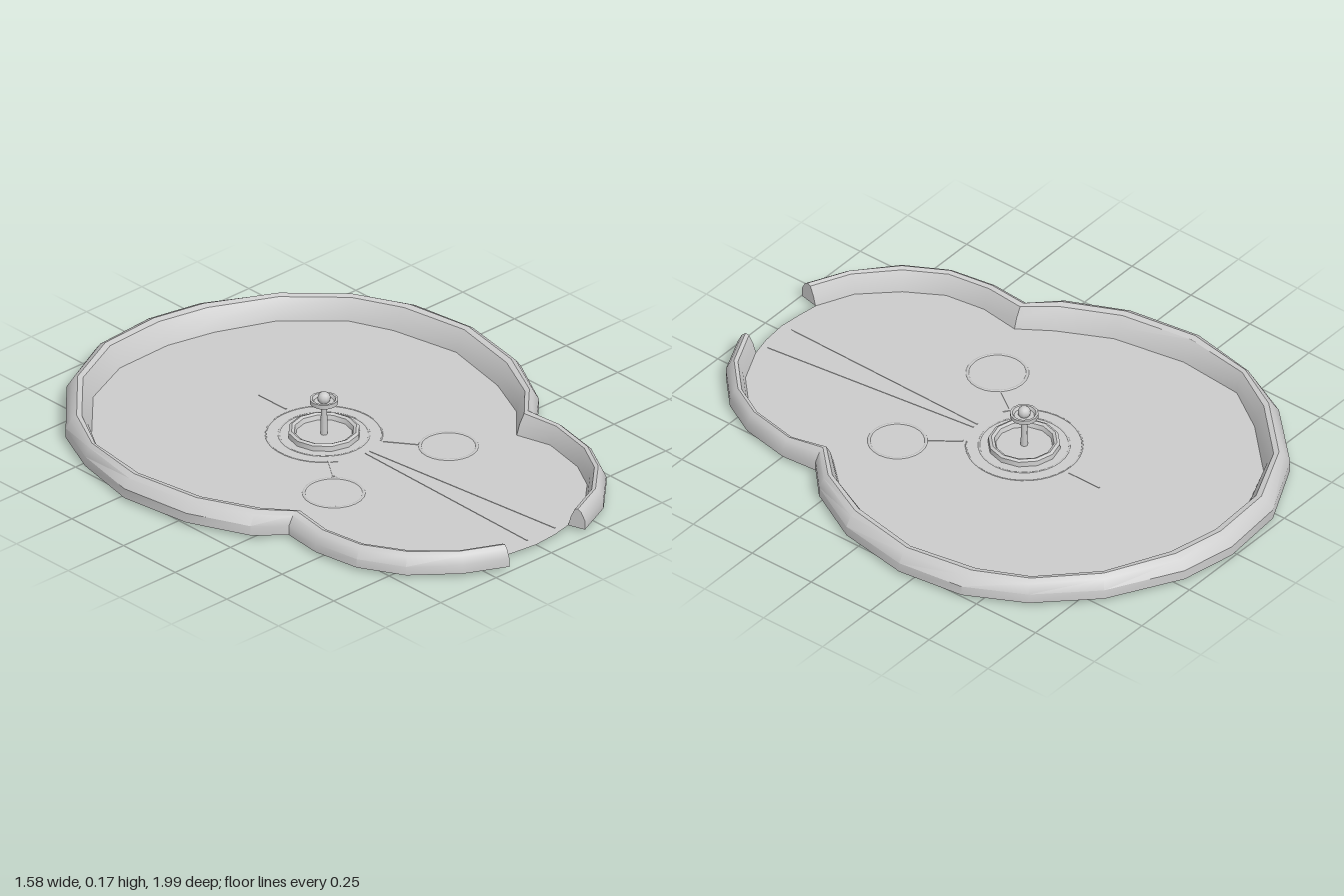
import * as THREE from 'three';
import { toCreasedNormals } from 'three/addons/utils/BufferGeometryUtils.js';

// Outer and inner edges of the rim as x, z pairs, from the right front end round the back to the left front end
const OUTER = [-.18, .99, -.325, .92, -.47, .8, -.553, .65, -.58, .48, -.565, .335, -.66, .25, -.755, .04, -.79, -.22,
  -.735, -.47, -.65, -.655, -.455, -.86, -.215, -.98, .025, -1, .225, -.96, .475, -.82, .65, -.64, .755, -.44,
  .785, -.2, .74, .06, .63, .265, .53, .36, .54, .49, .505, .67, .435, .8, .32, .91, .175, .975];
const INNER = [-.165, .92, -.295, .86, -.405, .745, -.48, .62, -.5, .475, -.48, .33, -.555, .22, -.645, .04, -.69, -.22,
  -.67, -.46, -.565, -.62, -.395, -.795, -.195, -.88, .025, -.885, .2, -.845, .405, -.76, .575, -.6, .64, -.45,
  .69, -.2, .635, .06, .56, .23, .45, .35, .485, .475, .45, .645, .39, .755, .285, .855, .155, .915];
// Rim cross-section: share of the way from outer to inner edge, height
const PROFILE = [[0, .012], [0, .047], [.22, .078], [.42, .089], [.62, .084], [.85, .05], [1, .012]];
const CX = -.01, CZ = -.09;

const material = new THREE.MeshStandardMaterial({ color: 0xcccccc, side: THREE.DoubleSide });

function add(parent, name, geometry, x = 0, y = 0, z = 0) {
  const mesh = new THREE.Mesh(geometry, material);
  mesh.name = name;
  mesh.position.set(x, y, z);
  parent.add(mesh);
  return mesh;
}

// Hollow rim, open underneath, with closed ends
function rimGeometry() {
  const sections = [];
  for (let i = 0; i < OUTER.length; i += 2) {
    const low = OUTER[i + 1] > .4 ? .93 : 1;
    sections.push(PROFILE.map(([t, y]) => [
      THREE.MathUtils.lerp(OUTER[i], INNER[i], t), y > .02 ? y * low : y,
      THREE.MathUtils.lerp(OUTER[i + 1], INNER[i + 1], t)]));
  }
  const v = [];
  for (let i = 0; i + 1 < sections.length; i++) {
    for (let j = 0; j + 1 < PROFILE.length; j++) {
      const a = sections[i][j], b = sections[i][j + 1], c = sections[i + 1][j + 1], d = sections[i + 1][j];
      v.push(...a, ...b, ...d, ...b, ...c, ...d);
    }
  }
  const first = sections[0], last = sections[sections.length - 1];
  for (let j = 1; j + 1 < PROFILE.length; j++) {
    v.push(...first[0], ...first[j + 1], ...first[j], ...last[0], ...last[j], ...last[j + 1]);
  }
  const g = new THREE.BufferGeometry();
  g.setAttribute('position', new THREE.Float32BufferAttribute(v, 3));
  return toCreasedNormals(g, .6);
}

function floorGeometry() {
  const shape = new THREE.Shape();
  shape.moveTo(INNER[0], -INNER[1]);
  for (let i = 2; i < INNER.length; i += 2) shape.lineTo(INNER[i], -INNER[i + 1]);
  shape.lineTo(.08, -.932);
  shape.lineTo(-.01, -.94);
  shape.lineTo(-.1, -.93);
  return new THREE.ShapeGeometry(shape).rotateX(-Math.PI / 2);
}

// Flat ring lying on the floor
const ring = (radius, tube, sides, arc = Math.PI * 2, start = 0) =>
  new THREE.TorusGeometry(radius, tube, 6, sides, arc).rotateZ(start).rotateX(-Math.PI / 2);

const lathe = (points, sides) =>
  toCreasedNormals(new THREE.LatheGeometry(points.map(([x, y]) => new THREE.Vector2(x, y)), sides), .6);

// Thin raised line on the floor
function line(parent, name, x1, z1, x2, z2, width) {
  const length = Math.hypot(x2 - x1, z2 - z1);
  const m = add(parent, name, new THREE.BoxGeometry(width, .004, length), (x1 + x2) / 2, .012, (z1 + z2) / 2);
  m.rotation.y = Math.atan2(x2 - x1, z2 - z1);
}

export function createModel() {
  const model = new THREE.Group();
  model.name = 'tray';
  add(model, 'rim', rimGeometry());
  add(model, 'floor', floorGeometry(), 0, .012, 0);

  // Shallow relief on the floor
  const relief = new THREE.Group();
  relief.name = 'floorRelief';
  model.add(relief);
  add(relief, 'rightCircle', ring(.1, .007, 24), -.26, .008, .225);
  add(relief, 'leftCircle', ring(.095, .007, 24), .235, .008, .25);
  add(relief, 'innerRing', ring(.15, .004, 32), CX, .01, CZ);
  add(relief, 'outerArc', ring(.193, .003, 32, 5.2, -1), CX, .011, CZ);
  line(relief, 'rightLink', -.185, .145, -.12, .05, .008);
  line(relief, 'leftLink', .17, .175, .1, .08, .008);
  line(relief, 'rearMark', .015, -.43, .015, -.3, .006);
  line(relief, 'frontLine', 0, .1, -.015, .9, .004);
  line(relief, 'frontLine', .02, .1, .11, .9, .004);

  // Central stand: low cup, post, dish and knob
  const stand = new THREE.Group();
  stand.name = 'centreStand';
  stand.position.set(CX, 0, CZ);
  model.add(stand);
  add(stand, 'cup', lathe([[0, .014], [.095, .014], [.1, .03], [.11, .035], [.12, .03], [.122, .001], [0, .001]], 12));
  add(stand, 'post', new THREE.CylinderGeometry(.01, .012, .106, 8), 0, .067, 0);
  add(stand, 'dish', lathe([[0, .115], [.022, .116], [.033, .125], [.047, .13], [.048, .146], [.04, .146],
    [.034, .136], [0, .134]], 12));
  add(stand, 'knob', new THREE.SphereGeometry(.022, 10, 8), 0, .149, 0);
  return model;
}
